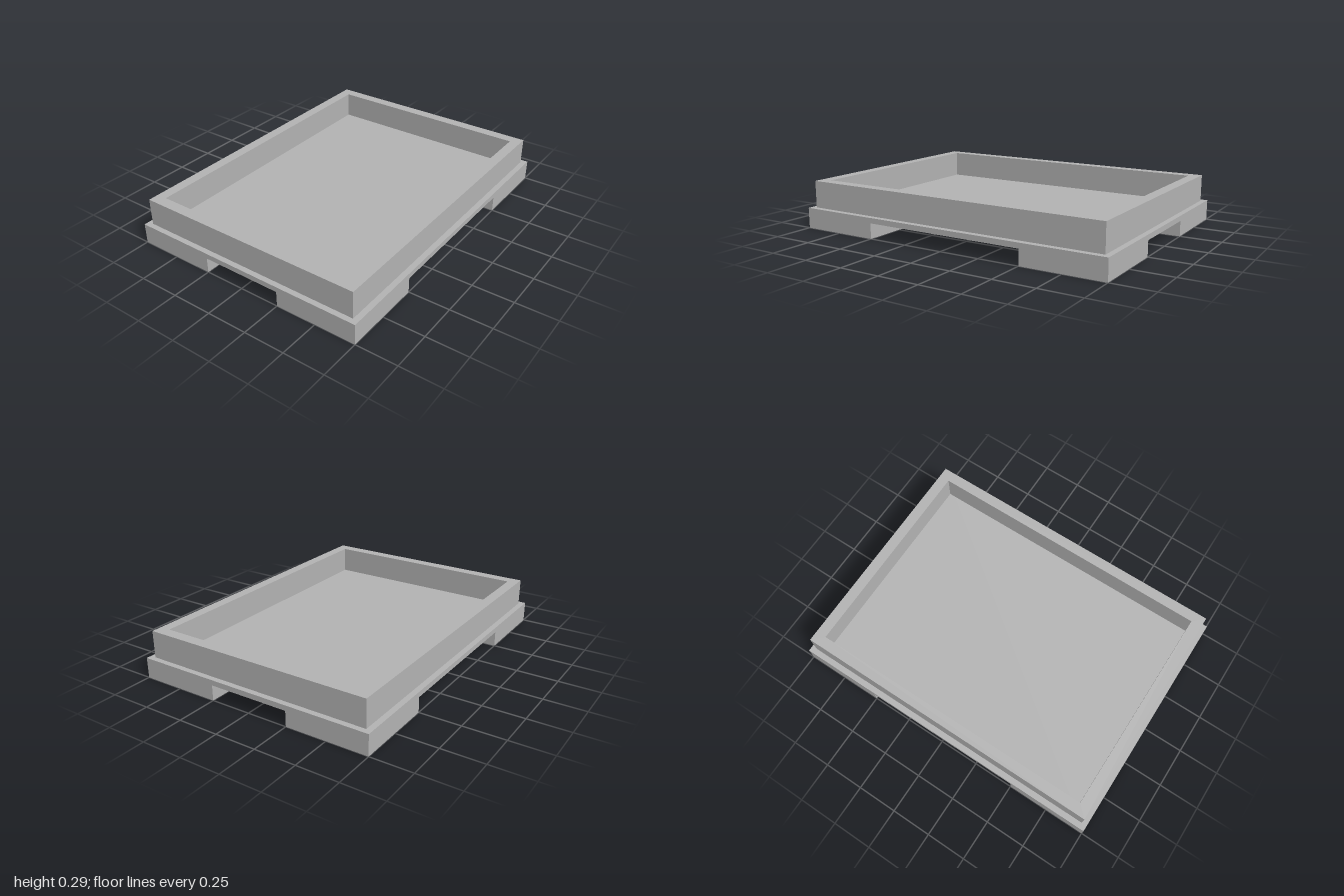
import * as THREE from 'three';

const rect = (P, w, d) => new P([
  new THREE.Vector2(-w, -d), new THREE.Vector2(w, -d),
  new THREE.Vector2(w, d), new THREE.Vector2(-w, d),
]);

export function createModel() {
  const grey = new THREE.MeshStandardMaterial({ color: 0xb2b2b2 });
  grey.name = 'grey';
  const model = new THREE.Group();
  model.name = 'tray';

  const footTop = 0.093, slabTop = 0.125, rimTop = 0.29;

  const add = (name, geometry, x, y, z) => {
    const mesh = new THREE.Mesh(geometry, grey);
    mesh.name = name;
    mesh.position.set(x, y, z);
    model.add(mesh);
  };

  // Base slab, which is also the tray floor
  add('baseSlab', new THREE.BoxGeometry(1.5, slabTop - footTop, 2), 0, (slabTop + footTop) / 2, 0);

  // Four square corner feet, flush with the slab edges
  const foot = new THREE.BoxGeometry(0.5, footTop, 0.5);
  for (const [side, x] of [['left', 0.5], ['right', -0.5]])
    for (const [end, z] of [['Front', 0.75], ['Back', -0.75]])
      add(`${side}${end}Foot`, foot, x, footTop / 2, z);

  // Raised rim: one rectangular frame around the floor
  const frame = rect(THREE.Shape, 0.715, 0.967);
  frame.holes.push(rect(THREE.Path, 0.65, 0.9));
  const rim = new THREE.ExtrudeGeometry(frame, { depth: rimTop - slabTop, bevelEnabled: false });
  rim.rotateX(-Math.PI / 2);
  add('rim', rim, 0, slabTop, 0);

  return model;
}
